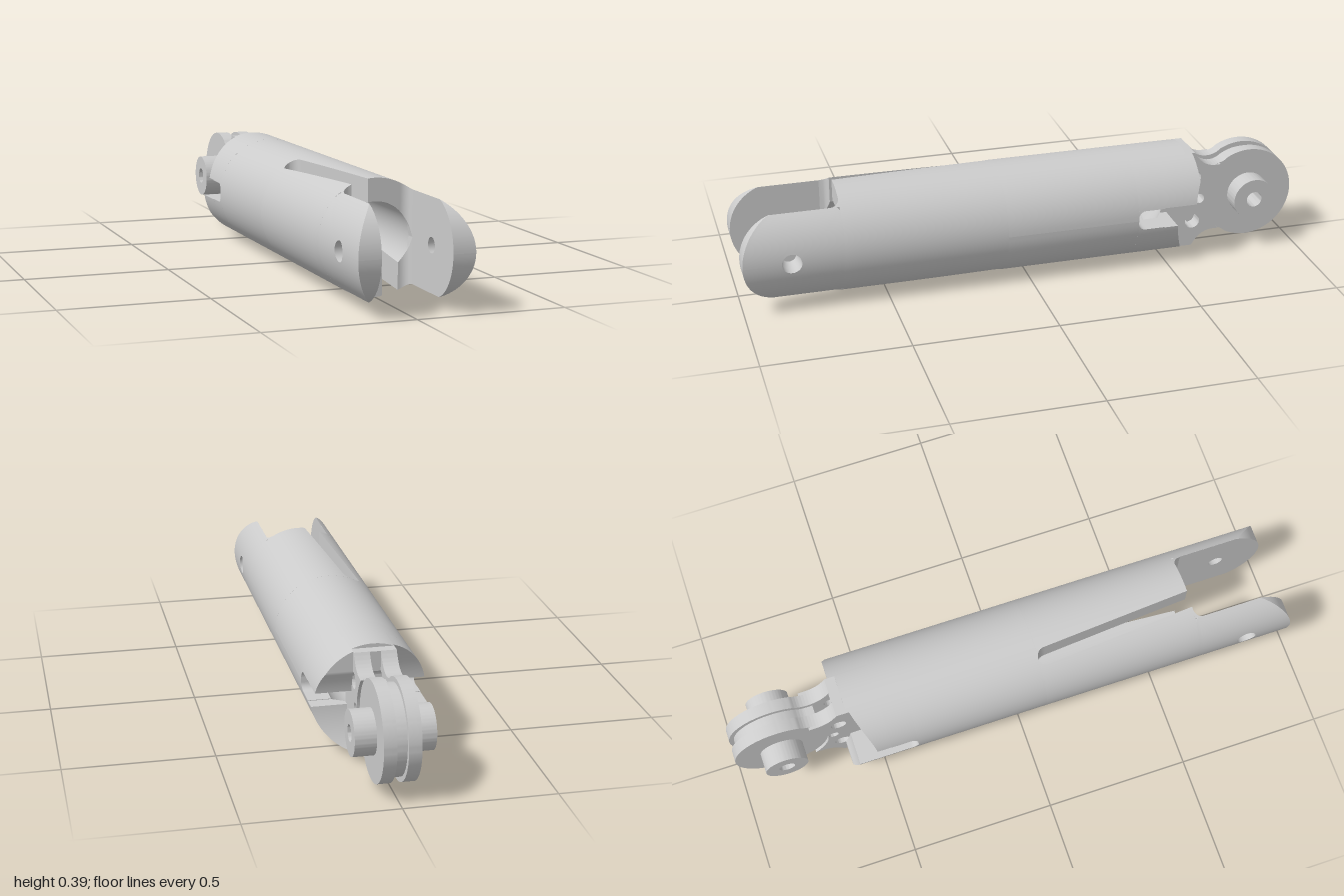
import * as THREE from 'three';
import { toCreasedNormals } from 'three/addons/utils/BufferGeometryUtils.js';

const CY = 0.195;            // height of the long axis
const R = 0.193, BORE = 0.117;
const PIVOT = -0.835;        // z of the knuckle axis, fork axis is at +0.835
const CORE = 0.07;           // half thickness of the rear web
const { sqrt, min, max, abs, acos, asin, cos, sin, hypot, PI } = Math;
const mix = (a, b, t) => a + (b - a) * t;

export function createModel() {
  const model = new THREE.Group();
  const body = new THREE.Group();
  body.position.y = CY;
  model.add(body);
  const material = new THREE.MeshStandardMaterial({ color: 0xcccccc });

  function add(name, geometry, halfTurn = false) {
    const mesh = new THREE.Mesh(geometry, material);
    mesh.name = name;
    if (halfTurn) mesh.rotation.z = PI;
    body.add(mesh);
    return mesh;
  }

  // A box whose u, v, w (0..1) are bent into a solid by a rule
  function block(nu, nv, nw, rule) {
    const g = new THREE.BoxGeometry(1, 1, 1, nu, nv, nw);
    const p = g.attributes.position;
    for (let i = 0; i < p.count; i++) {
      p.setXYZ(i, ...rule(p.getX(i) + 0.5, p.getY(i) + 0.5, p.getZ(i) + 0.5));
    }
    // turn the faces outward if the rule mirrors the box
    const id = g.index.array, a = new THREE.Vector3(), b = new THREE.Vector3(), c = new THREE.Vector3();
    let volume = 0;
    for (let i = 0; i < id.length; i += 3) {
      a.fromBufferAttribute(p, id[i]);
      b.fromBufferAttribute(p, id[i + 1]);
      c.fromBufferAttribute(p, id[i + 2]);
      volume += a.dot(b.cross(c));
    }
    if (volume < 0) id.reverse();
    g.computeVertexNormals();
    return g;
  }

  // Length of tube; the limits give its angular range at radius r and depth z
  function tube(nw, zAt, limits) {
    return block(72, 1, nw, (u, v, w) => {
      const r = mix(BORE, R, v), z = zAt(w);
      const [a0, a1] = limits(r, z);
      const a = mix(a0, a1, u);
      return [r * cos(a), r * sin(a), z];
    });
  }

  // Plain middle of the tube
  add('tubeMiddle', tube(1, w => mix(-0.38, 0.09, w), () => [0, 2 * PI]));

  // Front of the tube, split by two slanted cable slots
  const slotted = tube(24, w => mix(0.09, 0.655, w * w), (r, z) => {
    const centre = mix(-0.087, -0.0525, (z - 0.1175) / 0.5375);
    const half = z < 0.1175 ? sqrt(max(0, 0.0275 ** 2 - (0.1175 - z) ** 2)) : 0.0275;
    return [-acos(min(1, (half - centre) / r)), acos((centre + half) / r)];
  });
  add('slottedTubeRight', slotted);
  add('slottedTubeLeft', slotted, true);

  // Rear of the tube, split by the two side windows
  const windowed = tube(16, w => mix(-0.38, -0.475, w * w), (r, z) => {
    const d = max(0, z + 0.405);
    const a = asin((0.01 + sqrt(max(0, 0.025 ** 2 - d * d))) / r);
    return [a, PI - a];
  });
  add('windowedTubeTop', windowed);
  add('windowedTubeBottom', windowed, true);

  // Solid rear web, with the conical end of the bore in its front
  const boreEnd = (x, y) => min(-0.475, -0.555 + 0.08 * hypot(x, y) / BORE);
  add('rearWeb', block(28, 64, 1, (u, v, w) => {
    const x = mix(-CORE, CORE, u), y = (2 * v - 1) * sqrt(R * R - x * x);
    return [x, y, mix(-0.59, boreEnd(x, y), w)];
  }));

  // Cheeks beside the web: one diagonal pair long, the other cut back by an arc
  function cheek(side, zEnd) {
    return block(14, 28, 1, (u, v, w) => {
      const y = mix(0.037, sqrt(R * R - CORE * CORE), v);
      const x = mix(CORE, sqrt(max(CORE * CORE, R * R - y * y)), u);
      return [side * x, y, mix(zEnd(y), boreEnd(x, y), w)];
    });
  }
  const longCheek = cheek(1, y => max(-0.615, PIVOT + sqrt(0.245 ** 2 - y * y)));
  const cutCheek = cheek(-1, y => PIVOT + sqrt(0.312 ** 2 - y * y));
  for (const turn of [false, true]) {
    add('longCheek', longCheek, turn);
    add('cutCheek', cutCheek, turn);
  }

  // Fork tine: rings from the pin hole out to the rounded outline
  const tine = block(120, 12, 2, (u, v, w) => {
    const a = u * 2 * PI, c = cos(a), s = abs(sin(a));
    const edge = min(c < 0 ? 0.18 / max(-c, 1e-6) : 0.165, 0.1534 / max(s, 1e-6));
    const r = mix(w > 0.4 ? 0.034 : 0.026, edge, v);
    const y = r * sin(a);
    return [mix(BORE, sqrt(R * R - y * y), w), y, 0.835 + r * c];
  });
  add('forkTineLeft', tine);
  add('forkTineRight', tine, true);

  // Fillets at the root of the fork
  for (const sx of [-1, 1]) for (const sy of [-1, 1]) {
    add('forkFillet', block(8, 1, 1, (u, v, w) => {
      const x = mix(BORE - 0.03, BORE, u);
      const rise = 0.03 - sqrt(max(0, 0.03 ** 2 - (u * 0.03) ** 2));
      const y = mix(sqrt(max(0, BORE * BORE - x * x)), sqrt(R * R - x * x), v);
      return [sx * x, sy * y, 0.655 + mix(-0.002, rise, w)];
    }));
  }

  // Knuckle plates: side profiles (z, y) extruded across x
  function circle(z, y, r) {
    return new THREE.Path().absarc(z, y, r, 0, 2 * PI, true);
  }
  function plate(name, shape, holes, x0, x1) {
    shape.holes.push(...holes);
    const g = new THREE.ExtrudeGeometry(shape, { depth: x1 - x0, bevelEnabled: false, curveSegments: 40 });
    g.rotateY(-PI / 2);
    g.translate(x1, 0, 0);
    add(name, toCreasedNormals(g, 0.5));
  }
  // Neck blending into the disc
  function profile(zFront, yFront, waist, r) {
    const dy = sqrt(r * r - 0.08 ** 2), a = Math.atan2(dy, 0.08);
    const s = new THREE.Shape();
    s.moveTo(zFront, yFront);
    if (yFront > waist) {
      s.lineTo(-0.625, yFront);
      s.quadraticCurveTo(-0.655, waist, -0.705, waist);
    } else s.lineTo(-0.715, waist);
    s.quadraticCurveTo(-0.735, waist, PIVOT + 0.08, dy);
    s.absarc(PIVOT, 0, r, a, 2 * PI - a, false);
    s.quadraticCurveTo(-0.735, -waist, -0.71, -waist);
    if (yFront > waist) {
      s.quadraticCurveTo(-0.655, -waist, -0.625, -yFront);
    }
    s.lineTo(zFront, -yFront);
    return s;
  }
  // Raised pad on the neck, hollowed around the disc
  function padShape() {
    const a = Math.atan2(0.125, 0.109);
    const s = new THREE.Shape();
    s.moveTo(-0.59, 0.18);
    s.lineTo(-0.625, 0.18);
    s.quadraticCurveTo(-0.655, 0.125, -0.705, 0.125);
    s.absarc(PIVOT, 0, 0.166, a, -a, true);
    s.lineTo(-0.705, -0.125);
    s.quadraticCurveTo(-0.655, -0.125, -0.625, -0.18);
    s.lineTo(-0.59, -0.18);
    return s;
  }
  const neckHoles = () => [circle(-0.625, 0.085, 0.027), circle(-0.625, -0.085, 0.027), circle(-0.65, 0, 0.018)];
  const pinHole = () => circle(PIVOT, 0, 0.028);
  for (const s of [-1, 1]) {
    const span = (a, b) => s > 0 ? [a, b] : [-b, -a];
    plate('knuckleSide', profile(-0.59, 0.18, 0.125, 0.165), [...neckHoles(), pinHole()], ...span(0.018, 0.06));
    plate('neckPad', padShape(), neckHoles(), ...span(0.06, CORE));
    const boss = new THREE.Shape().absarc(PIVOT, 0, 0.075, 0, 2 * PI, false);
    plate('pivotBoss', boss, [pinHole()], ...span(0.06, 0.13));
  }
  // Groove floor between the sides, leaving a vertical cable hole in the neck
  plate('grooveFloor', profile(-0.69, 0.109, 0.109, 0.148), [pinHole()], -0.018, 0.018);
  const root = new THREE.Shape();
  root.moveTo(-0.59, -0.18);
  root.lineTo(-0.59, 0.18);
  root.lineTo(-0.627, 0.18);
  for (const y of [0.085, -0.085]) root.absarc(-0.625, y, 0.027, PI / 2, -PI / 2, true);
  root.lineTo(-0.627, -0.18);
  plate('neckRoot', root, [], -0.018, 0.018);

  return model;
}
